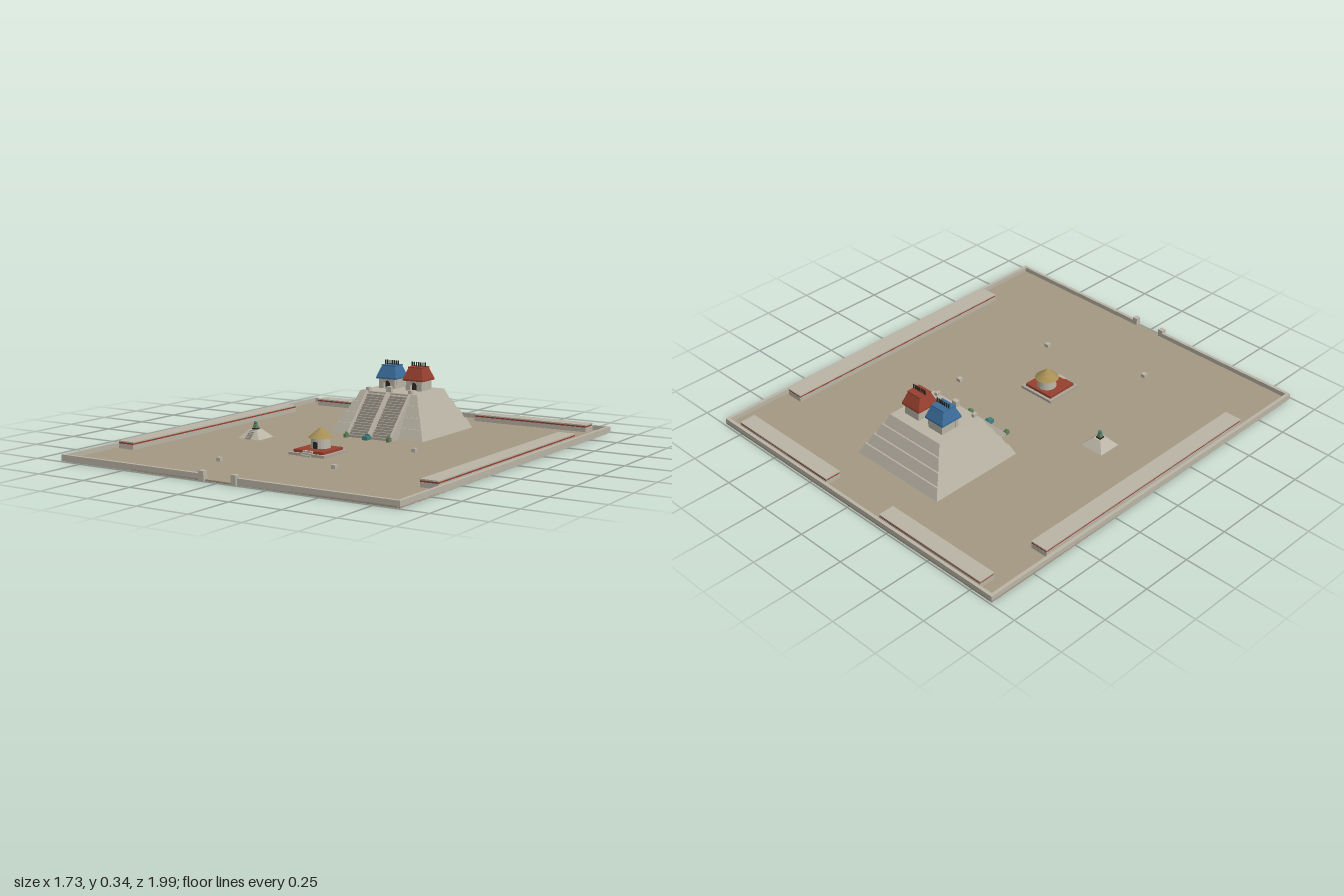
import * as THREE from 'three';

const mat = (color) => new THREE.MeshStandardMaterial({ color, flatShading: true, roughness: 0.9 });
const M = {
  earth: mat(0xa39883), stone: mat(0xbab4a6), step: mat(0xaaa497), red: mat(0x97402f),
  blue: mat(0x3a6c9a), thatch: mat(0xa68f55), dark: mat(0x2b2826), green: mat(0x5f8058), teal: mat(0x3f8080),
};
const FLOOR = 0.008;

function add(parent, name, geo, material, x = 0, y = 0, z = 0) {
  const mesh = new THREE.Mesh(geo, material);
  mesh.name = name;
  mesh.position.set(x, y, z);
  parent.add(mesh);
  return mesh;
}

// Box standing on y0, reaching y1
function block(parent, name, material, x, z, w, d, y0, y1) {
  return add(parent, name, new THREE.BoxGeometry(w, y1 - y0, d), material, x, (y0 + y1) / 2, z);
}

// Box whose top is narrowed to tw x td
function frustum(w, d, tw, td, h) {
  const g = new THREE.BoxGeometry(w, h, d);
  const p = g.attributes.position;
  for (let i = 0; i < p.count; i++) {
    if (p.getY(i) > 0) p.setXYZ(i, p.getX(i) * tw / w, h / 2, p.getZ(i) * td / d);
  }
  g.translate(0, h / 2, 0);
  g.computeVertexNormals();
  return g;
}

// Side profile of [z, y] points extruded along x, centred
function sideExtrude(points, width) {
  const shape = new THREE.Shape(points.map(([z, y]) => new THREE.Vector2(z, y)));
  const g = new THREE.ExtrudeGeometry(shape, { depth: width, bevelEnabled: false });
  return g.translate(0, 0, -width / 2).rotateY(-Math.PI / 2);
}

// Staircase profile from (zTop, yTop) down to (zEnd, y0)
function stairs(zTop, yTop, zEnd, y0, n, width) {
  const pts = [[zTop - 0.005, y0]];
  const dz = (zEnd - zTop) / n, dy = (yTop - y0) / n;
  pts.push([zTop - 0.005, yTop]);
  for (let i = 0; i < n; i++) {
    pts.push([zTop + dz * (i + 1), yTop - dy * i], [zTop + dz * (i + 1), yTop - dy * (i + 1)]);
  }
  return sideExtrude(pts, width);
}

function makePrecinct() {
  const g = new THREE.Group();
  g.name = 'precinct';
  block(g, 'ground', M.earth, 0, 0, 1.73, 1.98, 0, FLOOR);
  block(g, 'backWall', M.stone, 0, -0.982, 1.73, 0.016, 0, 0.03);
  for (const s of [-1, 1]) {
    block(g, 'sideWall', M.stone, s * 0.857, 0, 0.016, 1.98, 0, 0.03);
    block(g, 'frontWall', M.stone, s * 0.467, 0.982, 0.795, 0.016, 0, 0.03);
    block(g, 'gatePost', M.stone, s * 0.083, 0.987, 0.026, 0.026, 0, 0.044);
    // long low platforms with a red band under the cap
    for (const [x, z, w, d] of [[s * 0.793, 0, 0.085, 1.292], [s * 0.476, -0.93, 0.605, 0.079]]) {
      block(g, 'platformBase', M.stone, x, z, w, d, FLOOR, 0.03);
      block(g, 'platformBand', M.red, x, z, w - 0.002, d - 0.002, 0.03, 0.037);
      block(g, 'platformCap', M.stone, x, z, w, d, 0.037, 0.043);
    }
  }
  for (const [x, z] of [[0.344, 0], [0.254, 0.515], [-0.26, 0.645]]) {
    block(g, 'smallAltar', M.stone, x, z, 0.022, 0.022, FLOOR, 0.025);
  }
  return g;
}

function makeTemple(x, roofMat) {
  const g = new THREE.Group();
  g.name = 'temple';
  g.position.set(x, 0.208, -0.498);
  // front wall with an arched doorway, dark inside
  const wall = new THREE.Shape();
  wall.moveTo(-0.044, 0).lineTo(0.044, 0).lineTo(0.044, 0.05).lineTo(-0.044, 0.05).closePath();
  const door = new THREE.Path();
  door.moveTo(-0.018, 0.001).lineTo(-0.018, 0.022).absarc(0, 0.022, 0.018, Math.PI, 0, true).lineTo(0.018, 0.001).closePath();
  wall.holes.push(door);
  add(g, 'frontWall', new THREE.ExtrudeGeometry(wall, { depth: 0.02, bevelEnabled: false, curveSegments: 8 }), M.stone, 0, 0, 0.029);
  block(g, 'body', M.stone, 0, -0.011, 0.088, 0.078, 0, 0.05);
  block(g, 'doorway', M.dark, 0, 0.029, 0.04, 0.004, 0, 0.042);
  block(g, 'eaves', roofMat, 0, 0, 0.11, 0.115, 0.047, 0.055);
  add(g, 'roof', frustum(0.11, 0.115, 0.074, 0.066, 0.055), roofMat, 0, 0.055, 0);
  block(g, 'roofTop', roofMat, 0, 0, 0.08, 0.07, 0.108, 0.113);
  for (let i = 0; i < 7; i++) {
    block(g, 'roofSpike', M.dark, -0.036 + i * 0.012, 0, 0.005, 0.005, 0.113, 0.134);
  }
  return g;
}

function makeGreatPyramid() {
  const g = new THREE.Group();
  g.name = 'greatPyramid';
  const tiers = 4, h = 0.2 / tiers, zc = -0.4705;
  // each tier slopes in, with a small ledge above it
  for (let i = 0; i < tiers; i++) {
    const a = i * 0.0255, b = a + 0.0195;
    const hx = (t) => 2 * (0.254 - t), hz = (t) => 2 * (0.2425 - t * 1.17);
    add(g, 'tier', frustum(hx(a), hz(a), hx(b), hz(b), h), M.stone, 0, FLOOR + i * h, zc);
  }
  const top = -0.347, end = -0.165;
  for (const s of [-1, 1]) {
    add(g, 'stairs', stairs(top, 0.205, end, FLOOR, 18, 0.104), M.step, s * 0.065);
  }
  // balustrades with end blocks and serpent heads
  for (const [x, w, extra, headMat] of [[-0.118, 0.013, 0, M.green], [0, 0.024, 0.012, M.teal], [0.118, 0.013, 0, M.green]]) {
    const rail = [[top - 0.01, FLOOR], [end + 0.01, FLOOR], [end + 0.01, FLOOR + 0.006], [top, 0.217], [top - 0.01, 0.217]];
    add(g, 'balustrade', sideExtrude(rail, w), M.stone, x);
    block(g, 'balustradeBlock', M.stone, x, top - 0.004, w + 0.003, 0.022, 0.195, 0.224 + extra);
    block(g, 'serpentHead', headMat, x, end + 0.015 + extra / 2, w + 0.002, 0.024 + extra, FLOOR, 0.026);
    add(g, 'serpentSnout', frustum(w, 0.012, w * 0.7, 0.007, 0.009), headMat, x, 0.026, end + 0.012);
  }
  g.add(makeTemple(-0.076, M.blue), makeTemple(0.074, M.red));
  return g;
}

function makeRoundTemple() {
  const g = new THREE.Group();
  g.name = 'roundTemple';
  g.position.z = 0.26;
  block(g, 'lowerStep', M.step, 0, 0, 0.19, 0.19, FLOOR, 0.02);
  block(g, 'redTerrace', M.red, 0, 0, 0.16, 0.16, 0.02, 0.032);
  add(g, 'frontSteps', stairs(0.078, 0.032, 0.106, FLOOR, 3, 0.052), M.stone);
  const z = -0.02;
  add(g, 'drum', new THREE.CylinderGeometry(0.043, 0.046, 0.048, 20), M.stone, 0, 0.056, z);
  add(g, 'thatchRoof', new THREE.ConeGeometry(0.057, 0.048, 20), M.thatch, 0, 0.102, z);
  block(g, 'doorway', M.dark, 0, z + 0.041, 0.022, 0.01, 0.032, 0.062);
  return g;
}

function makeShrine() {
  const g = new THREE.Group();
  g.name = 'shrine';
  g.position.set(-0.475, FLOOR, 0.085);
  add(g, 'shrineBase', frustum(0.122, 0.116, 0.042, 0.042, 0.04), M.stone);
  add(g, 'shrineSteps', stairs(0.018, 0.038, 0.064, 0, 6, 0.03), M.step);
  // seated idol
  block(g, 'idolSeat', M.dark, 0, 0, 0.026, 0.026, 0.04, 0.046);
  add(g, 'idolBody', frustum(0.02, 0.02, 0.014, 0.014, 0.018), M.green, 0, 0.046, 0);
  add(g, 'idolHead', new THREE.SphereGeometry(0.009, 8, 6), M.teal, 0, 0.07, 0);
  return g;
}

export function createModel() {
  const model = new THREE.Group();
  model.name = 'templePrecinct';
  model.add(makePrecinct(), makeGreatPyramid(), makeRoundTemple(), makeShrine());
  return model;
}
